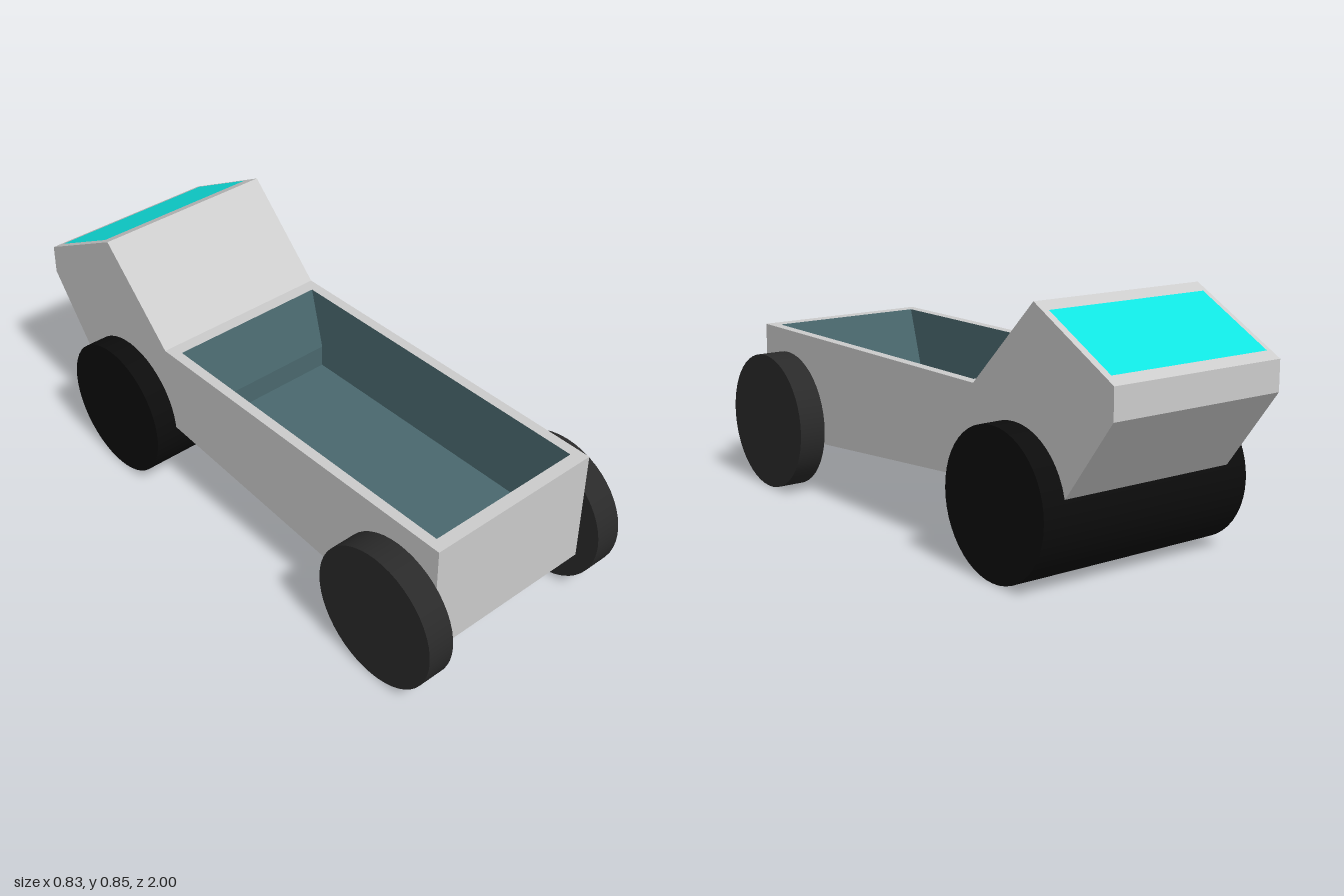
import * as THREE from 'three';

const mat = (color) => new THREE.MeshStandardMaterial({ color, side: THREE.DoubleSide });
const grey = mat(0xcccccc), teal = mat(0x4a686e), cyan = mat(0x10e4e0);
const rearRubber = mat(0x0c0c0c), frontRubber = mat(0x2a2a2a);

const HALF = 0.32;      // half width of the body
const BED_HALF = 0.285; // half width of the bed opening
const TOP = 0.56;       // height of the bed rim

// Profiles as [z, y]: the body runs round the outside, the liner down into the bed
const bodyProfile = [
  [-0.36, TOP], [-0.65, 0.845], [-1, 0.66], [-1, 0.56],
  [-0.8, 0.298], [0.92, 0.155], [0.92, TOP],
];
const bedProfile = [
  [0.875, TOP], [0.81, 0.345], [0.81, 0.265],
  [-0.26, 0.265], [-0.26, 0.345], [-0.315, TOP],
];

// Flat-shaded strip that sweeps a profile across the width
function strip(points, w) {
  const pos = [];
  for (let i = 0; i < points.length - 1; i++) {
    const [z0, y0] = points[i], [z1, y1] = points[i + 1];
    pos.push(-w, y0, z0, w, y0, z0, -w, y1, z1);
    pos.push(w, y0, z0, w, y1, z1, -w, y1, z1);
  }
  const g = new THREE.BufferGeometry();
  g.setAttribute('position', new THREE.Float32BufferAttribute(pos, 3));
  g.computeVertexNormals();
  return g;
}

// Flat panel filling a profile, facing -x
function panel(points) {
  const shape = new THREE.Shape(points.map(([z, y]) => new THREE.Vector2(z, y)));
  return new THREE.ShapeGeometry(shape).rotateY(-Math.PI / 2);
}

function rectangle(Type, w, z0, z1) {
  const r = new Type();
  r.moveTo(-w, -z1).lineTo(w, -z1).lineTo(w, -z0).lineTo(-w, -z0).closePath();
  return r;
}

function add(parent, name, geometry, material, x = 0, y = 0, z = 0) {
  const mesh = new THREE.Mesh(geometry, material);
  mesh.name = name;
  mesh.position.set(x, y, z);
  parent.add(mesh);
  return mesh;
}

const wheel = (width) => new THREE.CylinderGeometry(0.24, 0.24, width, 48).rotateZ(Math.PI / 2);

export function createModel() {
  const model = new THREE.Group();
  model.name = 'vehicle';

  // Body shell and bed liner, each with mirrored side panels
  const body = new THREE.Group();
  body.name = 'body';
  const bed = new THREE.Group();
  bed.name = 'bed';
  model.add(body, bed);
  add(body, 'bodyShell', strip(bodyProfile, HALF), grey);
  add(bed, 'bedLiner', strip(bedProfile, BED_HALF), teal);
  for (const s of [1, -1]) {
    const side = s > 0 ? 'left' : 'right';
    add(body, side + 'BodySide', panel(bodyProfile), grey, s * HALF).scale.x = -s;
    add(bed, side + 'BedSide', panel(bedProfile), teal, s * BED_HALF).scale.x = s;
  }

  // Rim around the bed opening
  const rim = rectangle(THREE.Shape, HALF, -0.36, 0.92);
  rim.holes.push(rectangle(THREE.Path, BED_HALF, -0.315, 0.875));
  add(body, 'bedRim', new THREE.ShapeGeometry(rim).rotateX(-Math.PI / 2), grey, 0, TOP);

  // Window lying just above the sloped cabin roof
  const roofY = (z) => 0.66 + (z + 1) * (0.185 / 0.35) + 0.003;
  add(model, 'window', strip([[-0.695, roofY(-0.695)], [-0.965, roofY(-0.965)]], 0.3), cyan);

  // One wide rear roller and two narrow front wheels
  add(model, 'rearRoller', wheel(0.8), rearRubber, 0, 0.24, -0.565);
  for (const s of [1, -1]) {
    add(model, s > 0 ? 'leftFrontWheel' : 'rightFrontWheel', wheel(0.095), frontRubber,
      s * 0.3675, 0.24, 0.76);
  }
  return model;
}
